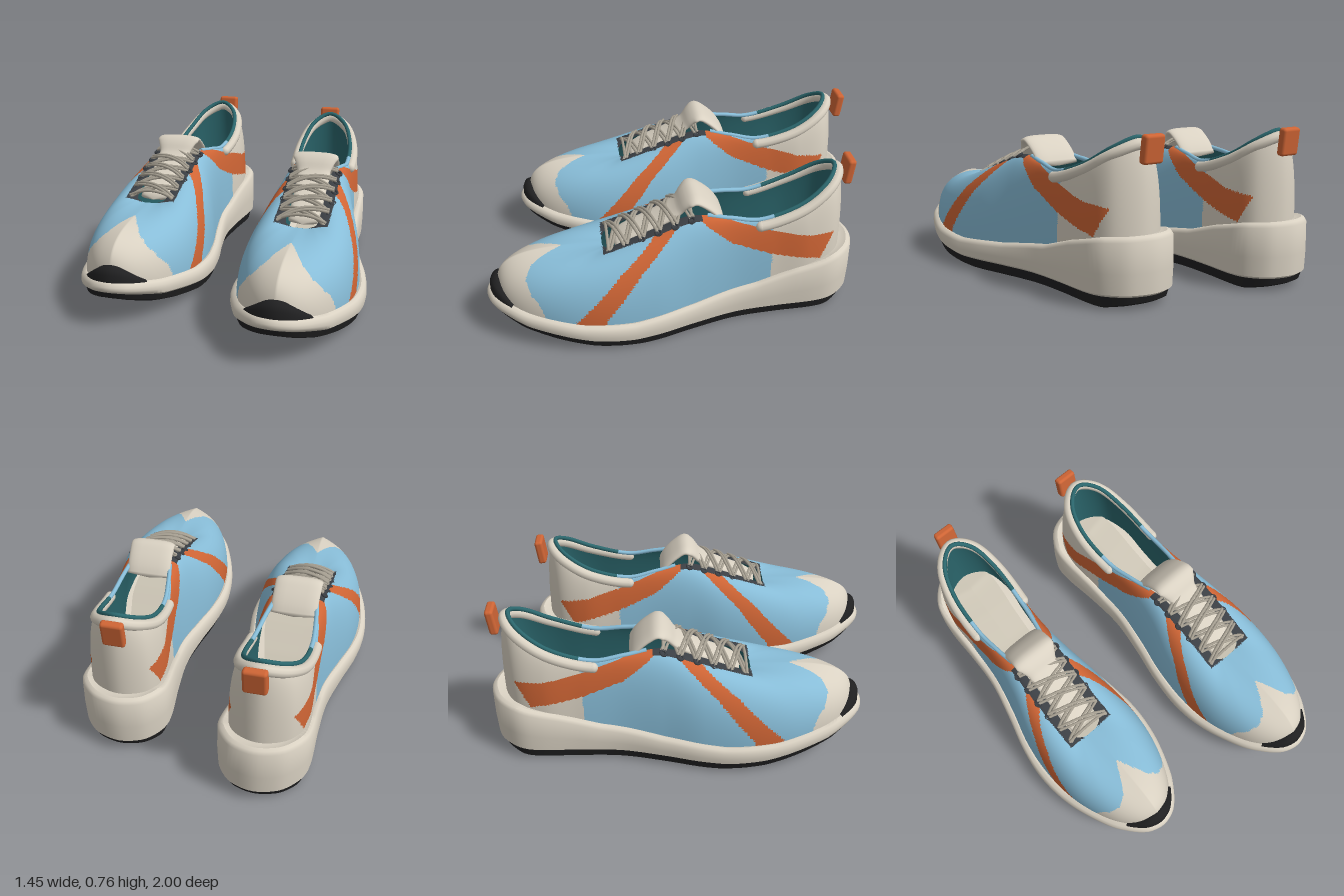
import * as THREE from 'three';
import { toCreasedNormals } from 'three/addons/utils/BufferGeometryUtils.js';
import { RoundedBoxGeometry } from 'three/addons/geometries/RoundedBoxGeometry.js';

const V = (x, y, z) => new THREE.Vector3(x, y, z);
const mat = (name, color) => new THREE.MeshStandardMaterial({ name, color, side: THREE.DoubleSide });

// piecewise linear lookup in [[x, y], ...] with rising x
function lin(table, x) {
  if (x <= table[0][0]) return table[0][1];
  for (let i = 1; i < table.length; i++) {
    const [x0, y0] = table[i - 1], [x1, y1] = table[i];
    if (x <= x1) return y0 + (y1 - y0) * (x - x0) / (x1 - x0);
  }
  return table[table.length - 1][1];
}

// sole heights along the length
const midTop = z => lin([[-0.84, 0.33], [-0.7, 0.32], [-0.5, 0.275], [-0.3, 0.215], [0, 0.17], [0.3, 0.15], [0.55, 0.16], [0.8, 0.195], [1, 0.235]], z);
const midLow = z => lin([[-0.84, 0.06], [0.3, 0.055], [0.5, 0.07], [0.8, 0.12], [1, 0.18]], z);
const soleLow = z => lin([[-0.84, 0.02], [-0.7, 0], [0.25, 0], [0.5, 0.02], [0.7, 0.055], [0.85, 0.09], [1, 0.14]], z);
const throatY = z => lin([[0, 0.6], [0.16, 0.55], [0.32, 0.49], [0.42, 0.445]], z);

// closed curve from half stations running toe -> +x side -> heel
function mirroredLoop(half) {
  const back = half.slice(1, -1).reverse().map(p => V(-p.x, p.y, p.z));
  return new THREE.CatmullRomCurve3([...half, ...back], true, 'catmullrom', 0.5);
}

// sole outline: z, half width
const outline = mirroredLoop([[1, 0], [0.987, 0.06], [0.96, 0.105], [0.9, 0.16], [0.8, 0.222], [0.6, 0.293], [0.4, 0.318], [0.2, 0.297], [0, 0.25],
  [-0.2, 0.213], [-0.4, 0.211], [-0.6, 0.22], [-0.7, 0.205], [-0.78, 0.15], [-0.82, 0.09], [-0.84, 0]].map(([z, w]) => V(w, 0, z)));

// upper stations: base z, base half width, top z, top half width, top y
const stations = [[0.945, 0, 0.43, 0, 0.44], [0.91, 0.1, 0.43, 0.03, 0.44], [0.8, 0.19, 0.42, 0.055, 0.445], [0.62, 0.257, 0.4, 0.075, 0.455],
  [0.42, 0.28, 0.32, 0.08, 0.49], [0.2, 0.262, 0.16, 0.08, 0.55], [0, 0.215, 0, 0.09, 0.6], [-0.2, 0.182, -0.17, 0.118, 0.58],
  [-0.4, 0.18, -0.33, 0.135, 0.56], [-0.57, 0.185, -0.52, 0.132, 0.615], [-0.71, 0.135, -0.655, 0.09, 0.695], [-0.77, 0, -0.712, 0, 0.74]];
const baseCurve = mirroredLoop(stations.map(s => V(s[1], midTop(s[0]) - 0.025, s[0])));
const topCurve = mirroredLoop(stations.map(s => V(s[3], s[4], s[2])));
const COUNT = 2 * (stations.length - 1);

// skin point: u runs round the shoe, v climbs from sole to top line on a superellipse
function skin(u, v, inner = false) {
  const b = baseCurve.getPoint(u), t = topCurve.getPoint(u);
  // fuller along the toe's centre line, which leaves a ridge there
  const ridge = THREE.MathUtils.smoothstep(b.z, 0.5, 0.9) * Math.exp(-Math.abs(b.x) / 0.08);
  if (inner) b.set(b.x * 0.92, b.y, b.z * 0.95);
  const n = (2.3 + 1.3 * ridge) * (inner ? 0.75 : 1), a = v * Math.PI / 2;
  const c = Math.cos(a), s = Math.sin(a), r = Math.pow(c ** n + s ** n, -1 / n);
  const k = 1 - c * r;
  return V(b.x + (t.x - b.x) * k, b.y + (t.y - b.y) * s * r, b.z + (t.z - b.z) * k);
}

// grid surface from rows of points; pick(centre) chooses a material index per face
function loft(rows, closed, pick) {
  const n = rows[0].length, pos = rows.flat(), lists = [];
  const tri = (...f) => {
    const m = pick ? pick(V(0, 0, 0).add(pos[f[0]]).add(pos[f[1]]).add(pos[f[2]]).divideScalar(3)) : 0;
    (lists[m] ||= []).push(...f);
  };
  for (let j = 0; j < rows.length - 1; j++) for (let i = 0; i < (closed ? n : n - 1); i++) {
    const a = j * n + i, b = j * n + (i + 1) % n;
    tri(a, b, a + n);
    tri(b, b + n, a + n);
  }
  const geo = new THREE.BufferGeometry().setFromPoints(pos);
  geo.setIndex(lists.flat());
  let start = 0;
  if (pick) lists.forEach((l, m) => { geo.addGroup(start, l.length, m); start += l.length; });
  geo.computeVertexNormals();
  return geo;
}

// ring parallel to the sole outline at a height rule
const loopPts = outline.getSpacedPoints(180).slice(0, 180);
function ring(inset, yOf, pts = loopPts) {
  return pts.map(p => {
    const i = loopPts.indexOf(p), a = loopPts[(i + 179) % 180], b = loopPts[(i + 1) % 180];
    const dx = b.x - a.x, dz = b.z - a.z, l = Math.hypot(dx, dz);
    return V(p.x + dz / l * inset, yOf(p.z, p.x), p.z - dx / l * inset);
  });
}
const spine = (row, scale) => row.map(p => V(0, p.y, p.z * scale));

// paint zones on the skin: 0 blue, 1 cream, 2 orange, 3 dark
function zone({ x, y, z }) {
  const ax = Math.abs(x);
  if (z > -0.04 && z < 0.43 && ax < 0.13 && y > 0.4) return 3;
  const bandZ = lin([[0.17, 0.51], [0.4, 0.31], [0.5, 0.195], [0.56, 0.125]], y);
  if (Math.abs(z - bandZ) < lin([[0.17, 0.07], [0.4, 0.05], [0.55, 0.035]], y)) return 2;
  const hi = lin([[-0.7, 0.44], [-0.55, 0.46], [-0.38, 0.505], [-0.18, 0.575], [-0.05, 0.62]], z);
  const lo = lin([[-0.63, 0.31], [-0.38, 0.375], [-0.18, 0.465], [-0.02, 0.6]], z);
  if (z < -0.02 && z > -0.7 + (0.44 - y) * 0.54 && y < hi && y > lo) return 2;
  if (z < -0.38) return 1;
  return z > lin([[0, 0.62], [0.04, 0.7], [0.08, 0.77], [0.13, 0.8], [0.18, 0.78], [0.22, 0.73], [0.26, 0.67]], ax) ? 1 : 0;
}

export function createModel() {
  const cream = mat('cream', 0xd9d1c2), blue = mat('sky blue', 0x88bdd8), orange = mat('orange', 0xcf6535);
  const dark = mat('charcoal', 0x3b3f44), black = mat('black rubber', 0x202021), teal = mat('teal lining', 0x2b666c);
  const laceMat = mat('lace grey', 0xa9a294), insoleMat = mat('insole', 0xcac3b3);

  const shoe = new THREE.Group();
  // every part is shifted sideways so the heel leans toward the inside
  const add = (name, geo, material) => {
    const p = geo.attributes.position;
    for (let i = 0; i < p.count; i++)
      p.setX(i, p.getX(i) + 0.408 - 0.06 * Math.pow(Math.max(0, 0.3 - p.getZ(i)) / 1.1, 1.3));
    const m = new THREE.Mesh(geo, material);
    m.name = name;
    shoe.add(m);
  };

  // outsole and midsole
  const o = [ring(0.05, soleLow), ring(0.028, z => soleLow(z) + 0.012), ring(0.018, midLow)];
  add('outsole', toCreasedNormals(loft([spine(o[0], 0.95), ...o], true), 0.6), black);
  const m = [ring(0.02, midLow), ring(0.004, z => midLow(z) + 0.012), ring(0, z => midLow(z) * 0.6 + midTop(z) * 0.4),
    ring(0.002, z => midTop(z) - 0.022), ring(0.012, z => midTop(z) - 0.006), ring(0.028, midTop), ring(0.06, z => midTop(z) - 0.012)];
  add('midsole', toCreasedNormals(loft([spine(m[0], 0.95), ...m, spine(m[6], 0.95)], true), 0.7), cream);
  const ins = ring(0.085, z => midTop(z) + 0.004);
  add('insole', loft([ins, spine(ins, 0.97)], true), insoleMat);

  // upper and lining
  const U = 360, R = 60, rows = [], inner = [];
  for (let j = 0; j <= R; j++) rows.push(Array.from({ length: U }, (_, i) => skin(i / U, j / R)));
  for (let j = 0; j <= 12; j++) inner.push(Array.from({ length: 120 }, (_, i) => skin(i / 120, j / 12, true)));
  add('upper', loft(rows, true, zone), [blue, cream, orange, dark]);
  add('lining', loft(inner, true), teal);

  // rim tubes between two stations; the padding sits outside and below the edge
  const rim = (from, to, move = p => p) => new THREE.CatmullRomCurve3(
    Array.from({ length: 31 }, (_, i) => move(topCurve.getPoint((from + (to - from) * i / 30) / COUNT))));
  const tube = (curve, r) => new THREE.TubeGeometry(curve, 60, r, 10);
  add('collarEdgeFront', tube(rim(6.4, 8.3), 0.011), blue);
  add('collarEdgeFront', tube(rim(COUNT - 8.3, COUNT - 6.4), 0.011), blue);
  add('collarEdgeBack', tube(rim(8.3, COUNT - 8.3), 0.011), teal);
  const padCurve = rim(8, COUNT - 8, p => V(p.x * 1.13, p.y - 0.028, -0.45 + (p.z + 0.45) * 1.08));
  add('collarPadding', tube(padCurve, 0.026), cream);
  for (const t of [0, 1]) {
    const e = padCurve.getPoint(t);
    add('collarPaddingEnd', new THREE.SphereGeometry(0.026, 12, 8).translate(e.x, e.y, e.z), cream);
  }

  // toe bumper wrapping round the tip
  const arc = [...loopPts.slice(-22), ...loopPts.slice(0, 23)].filter(p => Math.abs(p.x) < 0.18);
  const rise = x => 0.07 * Math.max(0, 1 - Math.abs(x / 0.18) ** 2.4);
  const bump = [[0.018, 0], [0.02, 0.5], [0.03, 0.85], [0.05, 1], [0.075, 1.03], [0.09, 0.6]].map(([d, k]) =>
    ring(d, (z, x) => midTop(z) - 0.004 + k * rise(x), arc));
  add('toeBumper', loft(bump, false), black);

  // tongue: flat oval sections swept along a path that folds back at the top
  const path = new THREE.CatmullRomCurve3([[0.44, 0.38], [0.49, 0.3], [0.55, 0.16], [0.605, 0.065], [0.655, 0.022], [0.672, -0.012],
    [0.645, -0.06], [0.597, -0.11], [0.55, -0.14]].map(([y, z]) => V(0, y, z)));
  const tongue = [];
  for (let j = 0; j <= 40; j++) {
    const t = j / 40, p = path.getPoint(t), d = path.getTangent(t), end = j === 0 || j === 40 ? 0.01 : 1;
    const w = lin([[0, 0.07], [0.4, 0.085], [0.55, 0.115], [1, 0.112]], t) * end;
    tongue.push(Array.from({ length: 24 }, (_, i) => {
      const a = i / 24 * Math.PI * 2, c = Math.cos(a), s = Math.sin(a) * 0.02 * end;
      return V(Math.sign(c) * Math.abs(c) ** 0.6 * w, p.y - d.z * s, p.z + d.y * s);
    }));
  }
  add('tongue', loft(tongue, true), cream);

  // eyelets and crossed double laces
  const rowZ = Array.from({ length: 6 }, (_, i) => 0.405 - i * 0.079);
  const strand = (za, zb, side, shift) => {
    const pts = [-1, -0.55, 0, 0.55, 1].map((k, i) => {
      const z = za + (zb - za) * i / 4 + shift;
      return V(k * side * 0.118, throatY(z) + 0.008 + 0.032 * (1 - k * k) + side * 0.005, z);
    });
    add('lace', new THREE.TubeGeometry(new THREE.CatmullRomCurve3(pts), 14, 0.0075, 6), laceMat);
  };
  rowZ.forEach((z, i) => {
    for (const side of [-1, 1]) {
      const eyelet = new THREE.TorusGeometry(0.014, 0.007, 6, 12).rotateX(-Math.PI / 2 + 0.35).rotateZ(-side * 0.5);
      add('eyelet', eyelet.translate(side * 0.122, throatY(z) - 0.002, z), dark);
      if (i < 5) for (const shift of [-0.008, 0.008]) strand(z, rowZ[i + 1], side, shift);
    }
  });
  strand(rowZ[0], rowZ[0], 1, 0);
  strand(rowZ[5], rowZ[5], 1, 0);

  // heel pull tab
  add('heelTab', new RoundedBoxGeometry(0.108, 0.13, 0.042, 3, 0.014).rotateX(-0.12).translate(-0.012, 0.695, -0.79), orange);

  // the pair: the right shoe is mirrored and stands further back
  const pair = new THREE.Group();
  pair.name = 'pairOfShoes';
  shoe.name = 'leftShoe';
  const right = shoe.clone();
  right.name = 'rightShoe';
  right.scale.x = -1;
  right.position.z = -0.16;
  pair.add(shoe, right);
  return pair;
}
